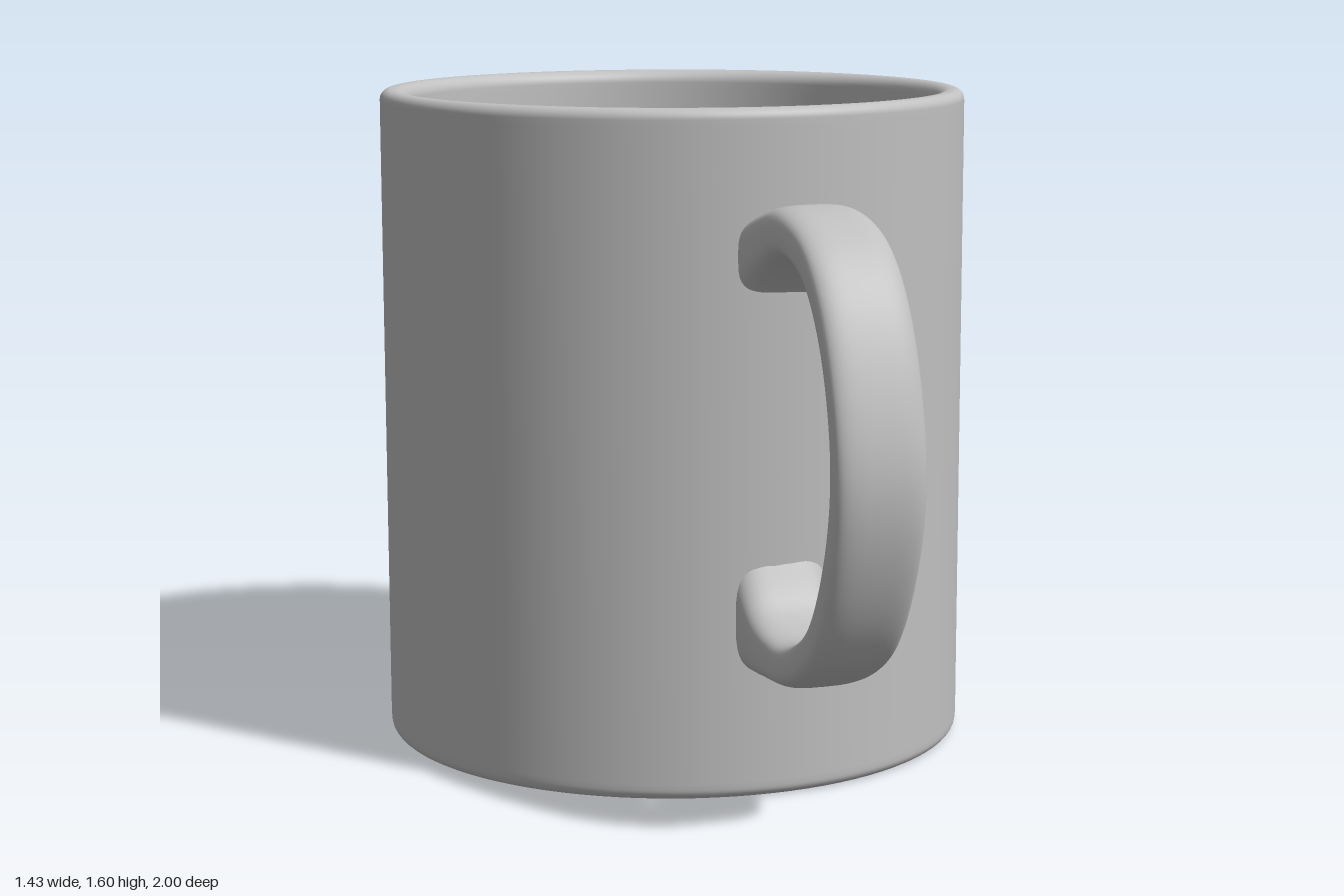
import * as THREE from 'three';

const CUP_Z = -0.282;
const lerp = THREE.MathUtils.lerp;

// Rounded profile corner centred on (cx, cy), with angles in degrees
function arc(cx, cy, r, from, to, steps = 8) {
  return Array.from({ length: steps + 1 }, (_, i) => {
    const a = THREE.MathUtils.degToRad(lerp(from, to, i / steps));
    return new THREE.Vector2(cx + r * Math.cos(a), cy + r * Math.sin(a));
  });
}

// Closed cup: underside, outer wall, rounded rim, inner wall, raised inner floor
function cupGeometry() {
  const p = (x, y) => new THREE.Vector2(x, y);
  const profile = [
    p(0, 0), p(0.67, 0),
    ...arc(0.688, 0.026, 0.026, -90, 0),
    p(0.715, 0.04), p(0.715, 1.56),
    ...arc(0.69, 1.575, 0.025, 0, 90),
    ...arc(0.682, 1.568, 0.032, 90, 180),
    p(0.65, 1.55), p(0.648, 1.16),
    ...arc(0.603, 1.135, 0.045, 0, -90),
    p(0.58, 1.09), p(0, 1.09),
  ];
  return new THREE.LatheGeometry(profile, 96);
}

// Handle: rounded-rectangle sections spanning an outer and an inner edge curve
function handleGeometry() {
  const curve = (pts) => new THREE.CatmullRomCurve3(
    pts.map(([z, y]) => new THREE.Vector3(0, y, z)));
  const outer = curve([[0.40, 1.34], [0.46, 1.37], [0.61, 1.397], [0.78, 1.345], [0.91, 1.19],
    [1.0, 0.87], [0.96, 0.63], [0.84, 0.42], [0.67, 0.322], [0.50, 0.302], [0.40, 0.295]]);
  const inner = curve([[0.40, 1.14], [0.45, 1.20], [0.60, 1.28], [0.75, 1.245], [0.86, 1.11],
    [0.92, 0.88], [0.885, 0.665], [0.785, 0.495], [0.62, 0.42], [0.50, 0.455], [0.41, 0.59]]);
  const rows = 80, sides = 40, pos = [], index = [];
  const soft = (v) => Math.sign(v) * Math.abs(v) ** 0.6;
  for (let i = 0; i <= rows; i++) {
    const t = i / rows, o = outer.getPoint(t), n = inner.getPoint(t);
    // the right edge flares slightly where the handle meets the wall
    const flare = 0.02 * Math.max(0, Math.abs(t - 0.5) * 2 - 0.7) / 0.3;
    const left = 0.132, right = -0.08 - flare;
    for (let j = 0; j < sides; j++) {
      const a = (j / sides) * Math.PI * 2;
      const c = (soft(Math.cos(a)) + 1) / 2, s = (soft(Math.sin(a)) + 1) / 2;
      pos.push(lerp(right, left, c), lerp(n.y, o.y, s), lerp(n.z, o.z, s));
      if (i < rows) {
        const k = (j + 1) % sides, b = i * sides;
        index.push(b + j, b + k, b + sides + j, b + k, b + sides + k, b + sides + j);
      }
    }
  }
  const g = new THREE.BufferGeometry();
  g.setAttribute('position', new THREE.Float32BufferAttribute(pos, 3));
  g.setIndex(index);
  g.computeVertexNormals();
  return g;
}

export function createModel() {
  const ceramic = new THREE.MeshStandardMaterial({ color: 0xc0c0c0 });
  ceramic.name = 'grey ceramic';

  const cup = new THREE.Mesh(cupGeometry(), ceramic);
  cup.name = 'cup';
  cup.position.z = CUP_Z;

  const handle = new THREE.Mesh(handleGeometry(), ceramic);
  handle.name = 'handle';

  const mug = new THREE.Group();
  mug.name = 'mug';
  mug.add(cup, handle);
  return mug;
}
